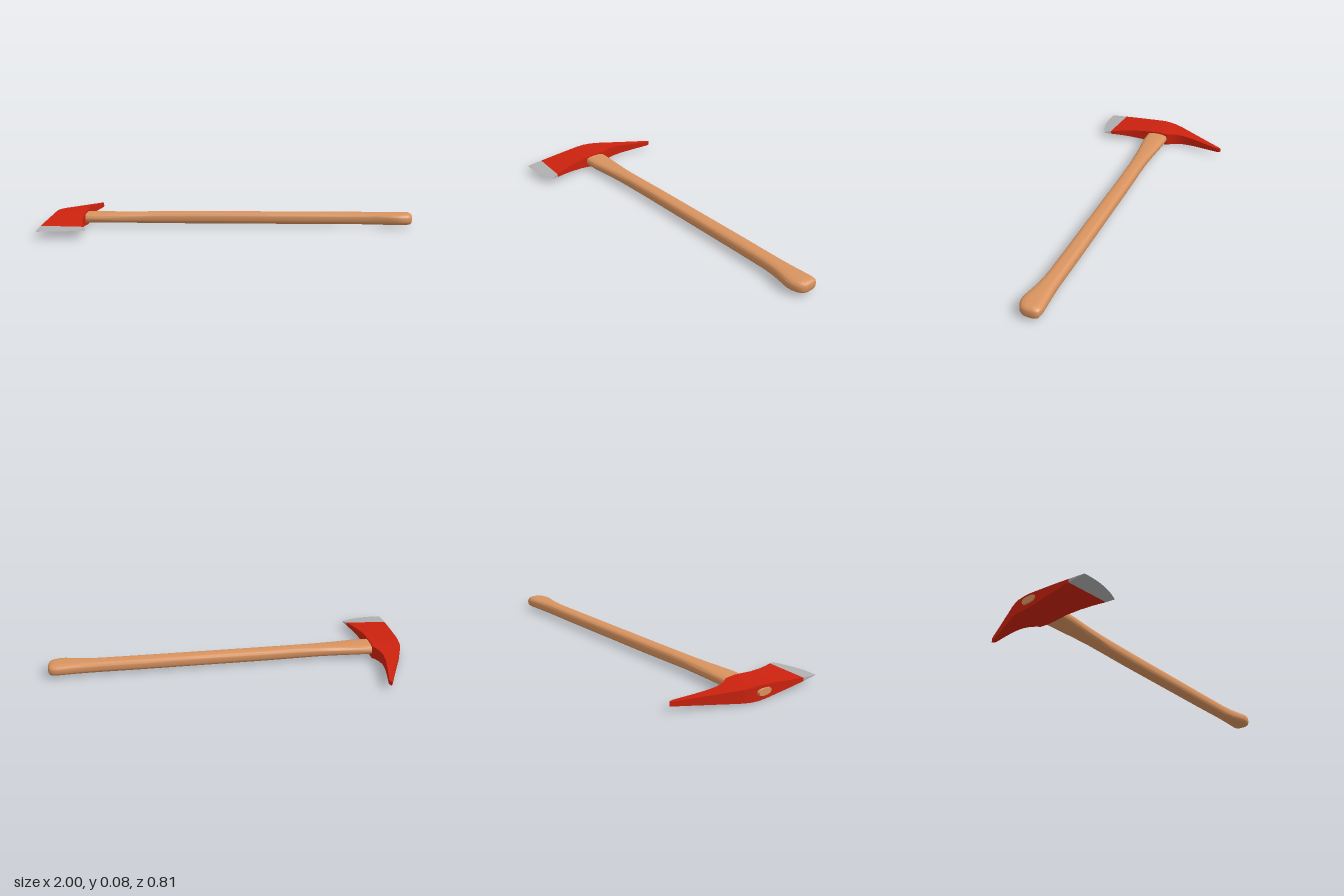
import * as THREE from 'three';
import { toCreasedNormals } from 'three/addons/utils/BufferGeometryUtils.js';

const Y = 0.042; // height of the symmetry plane

// Skin a list of equal-length rings (counterclockwise about the travel direction) and cap both ends.
function loft(rings, crease) {
  const n = rings[0].length, pos = [], idx = [];
  rings.forEach(r => r.forEach(p => pos.push(...p)));
  for (let j = 0; j < rings.length - 1; j++)
    for (let i = 0; i < n; i++) {
      const k = (i + 1) % n, a = j * n, b = a + n;
      idx.push(a + i, a + k, b + k, a + i, b + k, b + i);
    }
  for (const j of [0, rings.length - 1]) {
    const c = [0, 1, 2].map(q => rings[j].reduce((s, p) => s + p[q], 0) / n);
    const center = pos.length / 3;
    pos.push(...c);
    for (let i = 0; i < n; i++) {
      const k = (i + 1) % n;
      if (j) idx.push(center, j * n + i, j * n + k);
      else idx.push(center, k, i);
    }
  }
  const g = new THREE.BufferGeometry();
  g.setAttribute('position', new THREE.Float32BufferAttribute(pos, 3));
  g.setIndex(idx);
  return toCreasedNormals(g, crease);
}

// Head section between a left and a right outline point: flat cheeks, optional bow toward +z.
function headRing([xl, zl, xr, zr, h, bow = 0]) {
  const cols = 8, row = [];
  for (let i = 0; i <= cols; i++) {
    const t = i / cols;
    row.push([xl + (xr - xl) * t, zl + (zr - zl) * t + bow * 4 * t * (1 - t)]);
  }
  return [
    ...row.map(([x, z]) => [x, Y - h, z]),
    ...row.slice().reverse().map(([x, z]) => [x, Y + h, z]),
  ];
}

// Handle section: rounded rectangle across x.
function handleRing(x, z0, z1, hy) {
  const n = 32, ring = [];
  const soft = v => Math.sign(v) * Math.abs(v) ** 0.68;
  for (let i = 0; i < n; i++) {
    const a = (i / n) * Math.PI * 2;
    ring.push([x, Y + 0.003 + hy * soft(Math.cos(a)), (z0 + z1) / 2 + ((z1 - z0) / 2) * soft(Math.sin(a))]);
  }
  return ring;
}

export function createModel() {
  const group = new THREE.Group();
  const add = (name, geometry, color) => {
    const mesh = new THREE.Mesh(geometry, new THREE.MeshStandardMaterial({ color }));
    mesh.name = name;
    group.add(mesh);
  };

  // Head from spike tip to blade: xLeft, zLeft, xRight, zRight, half thickness
  const head = [
    [-0.815, -0.403, -0.806, -0.395, 0.011],
    [-0.827, -0.38, -0.806, -0.375, 0.0125],
    [-0.87, -0.285, -0.828, -0.28, 0.0195],
    [-0.91, -0.2, -0.844, -0.2, 0.0255],
    [-0.938, -0.14, -0.848, -0.14, 0.0298],
    [-0.957, -0.1, -0.842, -0.1, 0.0327],
    [-0.97, -0.065, -0.828, -0.068, 0.035],
    [-0.975, -0.045, -0.815, -0.048, 0.037],
    [-0.981, 0.01, -0.815, 0.01, 0.04],
    [-0.985, 0.05, -0.815, 0.05, 0.037],
    [-0.989, 0.12, -0.815, 0.12, 0.0298],
    [-0.994, 0.195, -0.803, 0.2, 0.0217],
    [-0.997, 0.25, -0.788, 0.262, 0.0155],
    [-1, 0.305, -0.767, 0.325, 0.009],
  ];
  add('axeHead', loft(head.map(headRing), 0.4), 0xcc220e);

  // Ground steel cutting edge
  const bevel = [
    [-1, 0.305, -0.767, 0.325, 0.009],
    [-1, 0.4, -0.75, 0.365, 0.0004, 0.018],
  ];
  add('cuttingEdge', loft(bevel.map(headRing), 0.4), 0xb0b0b0);

  // Wooden handle: x, zMin, zMax, half height
  const stations = [
    [-0.992, 0, 0.08, 0.018], [-0.9, -0.03, 0.083, 0.024],
    [-0.81, -0.045, 0.085, 0.028], [-0.73, -0.042, 0.085, 0.028],
    [-0.6, -0.032, 0.07, 0.029], [-0.5, -0.027, 0.062, 0.03],
    [-0.4, -0.026, 0.056, 0.032], [-0.2, -0.03, 0.052, 0.033],
    [0.2, -0.034, 0.05, 0.033], [0.5, -0.037, 0.048, 0.033],
    [0.72, -0.037, 0.048, 0.033], [0.8, -0.039, 0.055, 0.033],
    [0.86, -0.043, 0.067, 0.033], [0.91, -0.047, 0.078, 0.033],
    [0.94, -0.049, 0.077, 0.033], [0.965, -0.049, 0.069, 0.033],
    [0.985, -0.046, 0.058, 0.031], [0.995, -0.038, 0.046, 0.026],
    [1, -0.022, 0.028, 0.017],
  ];
  add('handle', loft(stations.map(s => handleRing(...s)), 0.9), 0xd8935f);

  return group;
}
